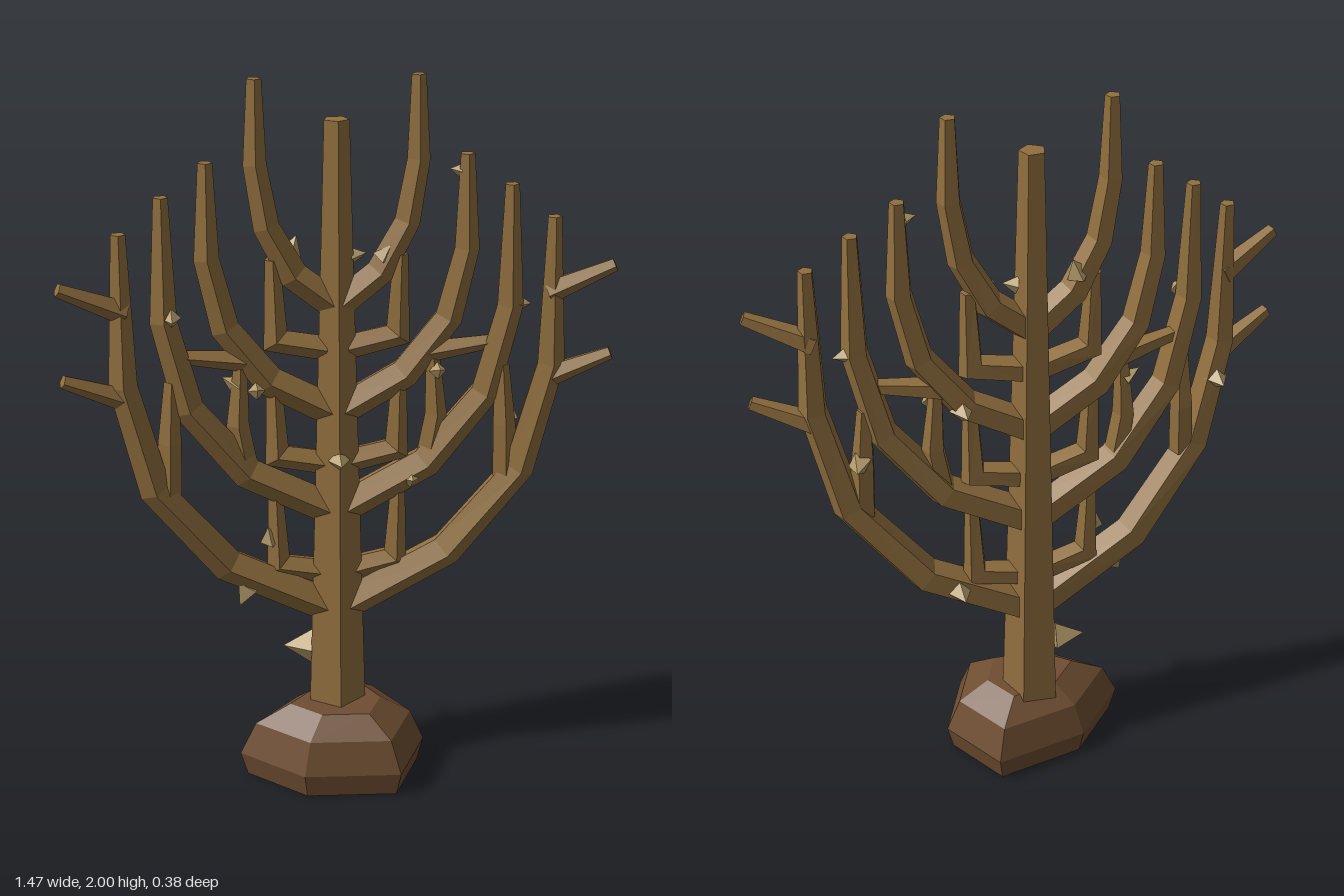
import * as THREE from 'three';

const bark = new THREE.MeshStandardMaterial({ color: 0x92703f, flatShading: true });
bark.name = 'branch brown';
const rock = new THREE.MeshStandardMaterial({ color: 0x6f4e32, flatShading: true });
rock.name = 'rock brown';
const pale = new THREE.MeshStandardMaterial({ color: 0xb59c6a, flatShading: true });
pale.name = 'polyp tan';

const V = (x, y, z) => new THREE.Vector3(x, y, z);
// the whole fan bows forward towards its edges
const bow = (x) => -0.04 + 0.2 * x * x;

// closed faceted skin over a stack of equal-sized rings
function loft(rings) {
  const out = [];
  const tri = (...pts) => pts.forEach((p) => out.push(p.x, p.y, p.z));
  const n = rings[0].length;
  const middle = (r) => r.reduce((s, p) => s.add(p), V(0, 0, 0)).divideScalar(n);
  const first = rings[0], last = rings[rings.length - 1];
  const m0 = middle(first), m1 = middle(last);
  for (let k = 0; k < n; k++) {
    const j = (k + 1) % n;
    for (let i = 0; i + 1 < rings.length; i++) {
      const a = rings[i], b = rings[i + 1];
      tri(a[k], a[j], b[j]);
      tri(a[k], b[j], b[k]);
    }
    tri(m0, first[j], first[k]);
    tri(m1, last[k], last[j]);
  }
  const g = new THREE.BufferGeometry();
  g.setAttribute('position', new THREE.Float32BufferAttribute(out, 3));
  g.computeVertexNormals();
  return g;
}

// five-sided mitred limb through points [x, y, radius]
function limb(points) {
  const c = points.map(([x, y]) => V(x, y, bow(x)));
  const rings = c.map((p, i) => {
    const before = p.clone().sub(c[Math.max(i - 1, 0)]).normalize();
    const after = c[Math.min(i + 1, c.length - 1)].clone().sub(p).normalize();
    const t = before.clone().add(after).normalize();
    const inner = i > 0 && i < c.length - 1;
    const mitre = inner ? 1 / Math.max(t.dot(after), 0.6) : 1;
    const nrm = V(0, 0, 1).addScaledVector(t, -t.z).normalize();
    const bin = t.clone().cross(nrm);
    const r = points[i][2];
    return [0, 1, 2, 3, 4].map((k) => {
      const a = (k * Math.PI * 2) / 5;
      return p.clone().addScaledVector(nrm, r * Math.cos(a)).addScaledVector(bin, r * mitre * Math.sin(a));
    });
  });
  return loft(rings);
}

export function createModel() {
  const model = new THREE.Group();
  model.name = 'fanCoral';
  const add = (name, geometry, material) => {
    const m = new THREE.Mesh(geometry, material);
    m.name = name;
    model.add(m);
    return m;
  };
  const mirrored = (name, pts) => {
    for (const s of [1, -1]) {
      add((s > 0 ? 'left' : 'right') + name, limb(pts.map(([x, y, r]) => [s * x, y, r])), bark);
    }
  };

  // uneven six-sided rock foot
  const outline = [[-0.12, 0.155], [0.15, 0.185], [0.25, 0], [0.15, -0.19], [-0.12, -0.155], [-0.285, 0]];
  const layers = [[0, 0.93], [0.07, 1], [0.165, 0.84], [0.22, 0.49]];
  add('rockBase', loft(layers.map(([y, s]) => outline.map(([x, z]) => V(x * s, y, z * s)))), rock);

  // trunk
  add('trunk', limb([[0, 0.15, 0.086], [0, 1.89, 0.035]]), bark);

  // four pairs of upswept branches: start height, reach, tip height, thickness
  const branches = [
    [0.51, 0.566, 1.63, 0.052],
    [0.81, 0.455, 1.715, 0.049],
    [1.1, 0.339, 1.795, 0.046],
    [1.4, 0.21, 2.0, 0.042],
  ];
  branches.forEach(([y0, reach, y1, r], i) => {
    const at = (u, v, k) => [reach * u, y0 + (y1 - y0) * v, r * k];
    mirrored('Branch' + (i + 1), [
      at(0.03, 0, 1), at(0.54, 0.142, 0.96), at(0.88, 0.365, 0.86), at(1.01, 0.64, 0.76),
      [reach, y1, 0.02],
    ]);
  });

  // elbow twigs off the trunk
  for (const y of [0.63, 0.96, 1.29]) {
    mirrored('ElbowTwig', [[0.03, y - 0.01, 0.036], [0.165, y + 0.02, 0.034], [0.17, y + 0.24, 0.021]]);
  }
  // outer, linking and upright twigs on the branches
  mirrored('LowerOuterTwig', [[0.56, 1.185, 0.034], [0.725, 1.26, 0.019]]);
  mirrored('UpperOuterTwig', [[0.56, 1.425, 0.034], [0.725, 1.505, 0.019]]);
  mirrored('LinkTwig', [[0.22, 1.255, 0.034], [0.41, 1.285, 0.021]]);
  mirrored('InnerUprightTwig', [[0.25, 0.96, 0.034], [0.27, 1.08, 0.032], [0.26, 1.24, 0.02]]);
  mirrored('OuterUprightTwig', [[0.46, 0.9, 0.034], [0.455, 1.05, 0.033], [0.445, 1.22, 0.02]]);

  // small pointed polyps: base position, direction, size
  const polyps = [
    [-0.075, 0.375, -0.05, -1, 0, -0.2, 0.085],
    [-0.25, 0.59, -0.02, -0.5, -1, 0.1, 0.065],
    [0.22, 0.62, -0.065, 0, 0, -1, 0.06],
    [0.2, 1.2, -0.06, 0, 0, -1, 0.055],
    [0.47, 1.07, -0.02, 0.4, 0, -1, 0.055],
    [-0.55, 1.12, -0.01, 0, 0, -1, 0.055],
    [-0.185, 0.73, -0.03, -0.2, 1, 0.3, 0.05],
    [-0.27, 1.19, -0.03, -1, 0.6, 0, 0.05],
    [-0.22, 1.18, 0, 0, 0.4, 1, 0.04],
    [-0.12, 1.54, -0.05, 0.4, 1, -0.2, 0.055],
    [0.045, 1.53, -0.04, 1, 0.2, 0.2, 0.04],
    [0.12, 1.53, -0.02, 0.6, 1, 0.4, 0.045],
    [0, 0.97, 0.015, 0, 0, 1, 0.05],
    [0.2, 0.9, 0, 0, 0.2, 1, 0.045],
    [0.48, 1.39, 0, 1, -0.1, 0, 0.045],
    [0.32, 1.75, -0.02, -1, 0.2, 0, 0.03],
    [-0.44, 1.4, 0.025, 0, 0, 1, 0.045],
    [0.27, 1.21, 0, 0, 0.4, 1, 0.04],
  ];
  for (const [x, y, z, dx, dy, dz, h] of polyps) {
    const cone = new THREE.ConeGeometry(h * 0.6, h, 4).translate(0, h * 0.4, 0);
    const p = add('polyp', cone, pale);
    p.position.set(x, y, z);
    p.quaternion.setFromUnitVectors(V(0, 1, 0), V(dx, dy, dz).normalize());
  }
  return model;
}
